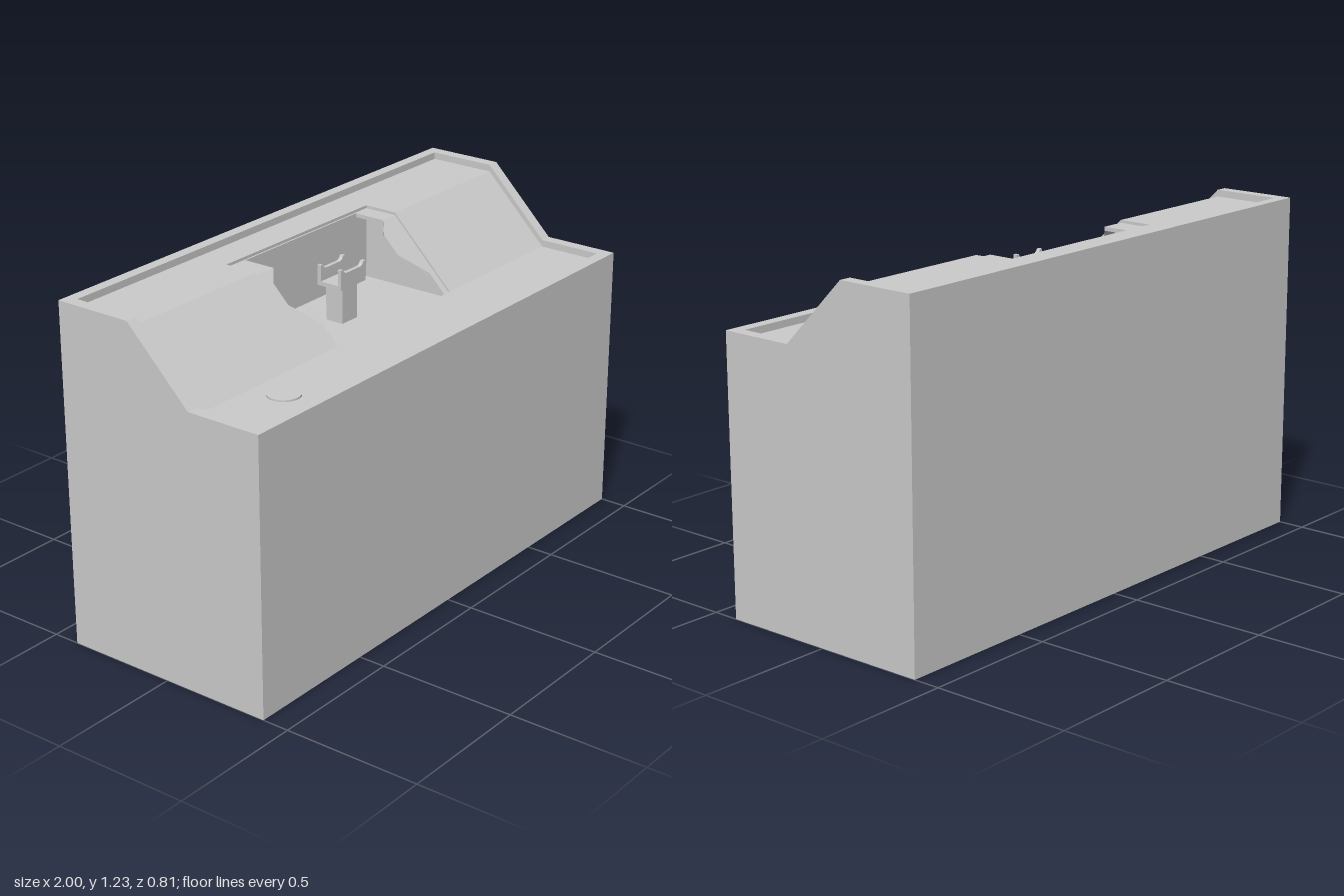
import * as THREE from 'three';
import { mergeGeometries } from 'three/addons/utils/BufferGeometryUtils.js';

const material = new THREE.MeshStandardMaterial({ color: 0xcccccc, side: THREE.DoubleSide, flatShading: true });
const W = 1, D = 0.403;                 // half width and half depth
const FRONT = 0.125, BACK = -0.115;     // ends of the slope
const LOW = 0.985, HIGH = 1.225;        // heights of the two decks
const height = z => z >= FRONT ? LOW : z <= BACK ? HIGH : LOW + (FRONT - z);

// Flat outline in x,z laid onto the top profile, lowered by drop
function patch(points, drop) {
  const shape = new THREE.Shape(points.map(([x, z]) => new THREE.Vector2(x, -z)));
  const g = new THREE.ShapeGeometry(shape).rotateX(-Math.PI / 2);
  const p = g.attributes.position;
  for (let i = 0; i < p.count; i++) p.setY(i, height(p.getZ(i)) - drop);
  g.computeVertexNormals();
  return g;
}

// Rectangle on the profile, split where the profile bends
function skin(x0, x1, z0, z1, drop) {
  const zs = [z0, ...[BACK, FRONT].filter(z => z > z0 && z < z1), z1];
  return mergeGeometries(zs.slice(1).map((b, i) =>
    patch([[x0, zs[i]], [x1, zs[i]], [x1, b], [x0, b]], drop)));
}

// Upright wall along a path in x,z between two height rules
function wall(path, top, bottom) {
  const pos = [];
  for (let i = 0; i + 1 < path.length; i++) {
    const [[ax, az], [bx, bz]] = [path[i], path[i + 1]];
    const a = [ax, top(az), az], b = [bx, top(bz), bz];
    const c = [bx, bottom(bz), bz], d = [ax, bottom(az), az];
    pos.push(...a, ...d, ...c, ...a, ...c, ...b);
  }
  const g = new THREE.BufferGeometry();
  g.setAttribute('position', new THREE.Float32BufferAttribute(pos, 3));
  g.computeVertexNormals();
  return g;
}

const lowered = drop => z => height(z) - drop;
const level = y => () => y;
// Closed rectangular path with points at the profile bends
const loop = (x0, x1, z0, z1) => {
  const mid = [BACK, FRONT].filter(z => z > z0 && z < z1);
  return [[x0, z0], ...mid.map(z => [x0, z]), [x0, z1], [x1, z1],
    ...[...mid].reverse().map(z => [x1, z]), [x1, z0], [x0, z0]];
};

export function createModel() {
  const model = new THREE.Group();
  const add = (name, geometry, parent = model) => {
    const mesh = new THREE.Mesh(geometry, material);
    mesh.name = name;
    parent.add(mesh);
    return mesh;
  };

  // Outer walls, open underneath
  add('caseWalls', wall(loop(-W, W, -D, D), height, level(0)));

  // Narrow rim around the top and its inner lip
  const X = 0.957, ZB = -0.363, ZF = 0.36, INSET = 0.025;
  add('rim', mergeGeometries([
    skin(-W, -X, -D, D, 0), skin(X, W, -D, D, 0),
    skin(-X, X, -D, ZB, 0), skin(-X, X, ZF, D, 0),
  ]));
  add('rimLip', wall(loop(-X, X, ZB, ZF), height, lowered(INSET)));

  // Inset top panel around the pocket
  const L = -0.383, R = 0.375, PB = -0.24, PF = FRONT;
  add('topPanel', mergeGeometries([
    skin(-X, L, ZB, ZF, INSET), skin(R, X, ZB, ZF, INSET),
    skin(L, R, ZB, PB, INSET), skin(L, R, PF, ZF, INSET),
  ]));

  // Pocket below the panel
  const FLOOR = 0.935;
  add('pocketWalls', wall(loop(L, R, PB, PF), lowered(INSET), level(FLOOR)));
  const floor = add('pocketFloor', new THREE.PlaneGeometry(R - L, PF - PB).rotateX(-Math.PI / 2));
  floor.position.set((L + R) / 2, FLOOR, (PB + PF) / 2);

  // Thin cover plates with notched edges on each side of the pocket
  const notch = [[-0.293, BACK], [-0.335, -0.08], [-0.335, -0.02], [-0.25, 0.055], [-0.25, FRONT]];
  const COVER = 0.035, UNDER = 0.049;
  for (const [name, outer, shift] of [['rightCover', L, 0], ['leftCover', R, 0.6]]) {
    const edge = notch.map(([x, z]) => [x + shift, z]);
    const rearX = edge[0][0];
    const rear = [[rearX, PB], [rearX, BACK], [outer, BACK], [outer, PB]];
    const slope = [...edge, [outer, FRONT], [outer, BACK]];
    add(name, mergeGeometries([COVER, UNDER].flatMap(d => [patch(rear, d), patch(slope, d)])));
    add(name + 'Edge', wall([[rearX, PB], ...edge], lowered(COVER), lowered(UNDER)));
  }
  // Small lip joining the covers along the rear of the pocket
  const lip = add('pocketRearLip', new THREE.BoxGeometry(0.6, UNDER - COVER, 0.006));
  lip.position.set(0.007, HIGH - (COVER + UNDER) / 2, PB + 0.003);

  // Cradle on a post
  const cradle = new THREE.Group();
  cradle.name = 'cradle';
  cradle.position.set(-0.002, 0, -0.058);
  model.add(cradle);
  const post = add('post', new THREE.BoxGeometry(0.08, 1.065 - FLOOR, 0.07), cradle);
  post.position.y = (1.065 + FLOOR) / 2;
  const base = add('cradleBase', new THREE.BoxGeometry(0.134, 0.015, 0.1), cradle);
  base.position.y = 1.0725;
  const s = new THREE.Shape();
  s.moveTo(-0.067, 1.065);
  s.lineTo(0.067, 1.065);
  s.lineTo(0.067, 1.137);
  s.lineTo(0.055, 1.137);
  s.quadraticCurveTo(0.05, 1.122, 0.035, 1.122);
  s.lineTo(-0.035, 1.122);
  s.quadraticCurveTo(-0.05, 1.122, -0.055, 1.137);
  s.lineTo(-0.067, 1.137);
  for (const [name, z] of [['frontFork', 0.036], ['rearFork', -0.05]]) {
    const fork = add(name, new THREE.ExtrudeGeometry(s, { depth: 0.014, bevelEnabled: false, curveSegments: 5 }), cradle);
    fork.position.z = z;
  }

  // Round button on the front deck
  const button = add('button', new THREE.CylinderGeometry(0.057, 0.057, 0.012, 32));
  button.position.set(-0.675, LOW - INSET, 0.237);

  return model;
}
